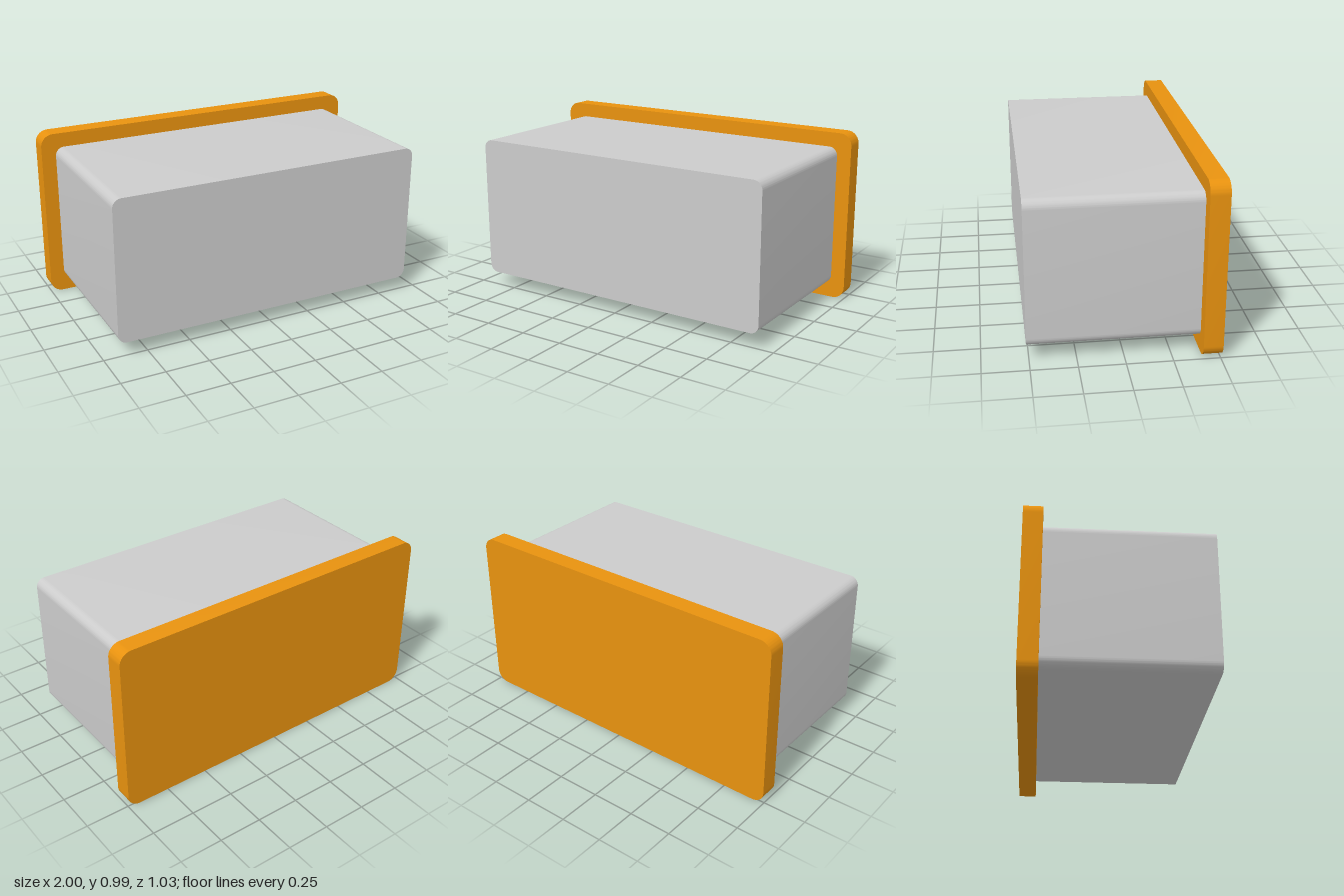
import * as THREE from 'three';
import { toCreasedNormals } from 'three/addons/utils/BufferGeometryUtils.js';

const MID_Y = 0.4925;

// Rounded rectangle centred on the origin
function roundedRect(w, h, r) {
  const x = w / 2, y = h / 2;
  const s = new THREE.Shape();
  s.absarc(x - r, y - r, r, 0, Math.PI / 2);
  s.absarc(-x + r, y - r, r, Math.PI / 2, Math.PI);
  s.absarc(-x + r, -y + r, r, Math.PI, Math.PI * 1.5);
  s.absarc(x - r, -y + r, r, Math.PI * 1.5, Math.PI * 2);
  s.closePath();
  return s;
}

// Slab with rounded corners, running from z0 to z1
function slab(name, w, h, r, z0, z1, color) {
  const extruded = new THREE.ExtrudeGeometry(roundedRect(w, h, r), {
    depth: z1 - z0, bevelEnabled: false, curveSegments: 8,
  });
  const mesh = new THREE.Mesh(
    toCreasedNormals(extruded, 0.5),
    new THREE.MeshStandardMaterial({ color })
  );
  mesh.name = name;
  mesh.position.set(0, MID_Y, z0);
  return mesh;
}

export function createModel() {
  const group = new THREE.Group();
  group.name = 'flangedBlock';
  // Grey block at the front, coloured flange plate behind it
  group.add(slab('body', 1.834, 0.818, 0.05, -0.407, 0.513, 0xcccccc));
  group.add(slab('backPlate', 2, 0.985, 0.07, -0.513, -0.407, 0xe8920f));
  return group;
}
